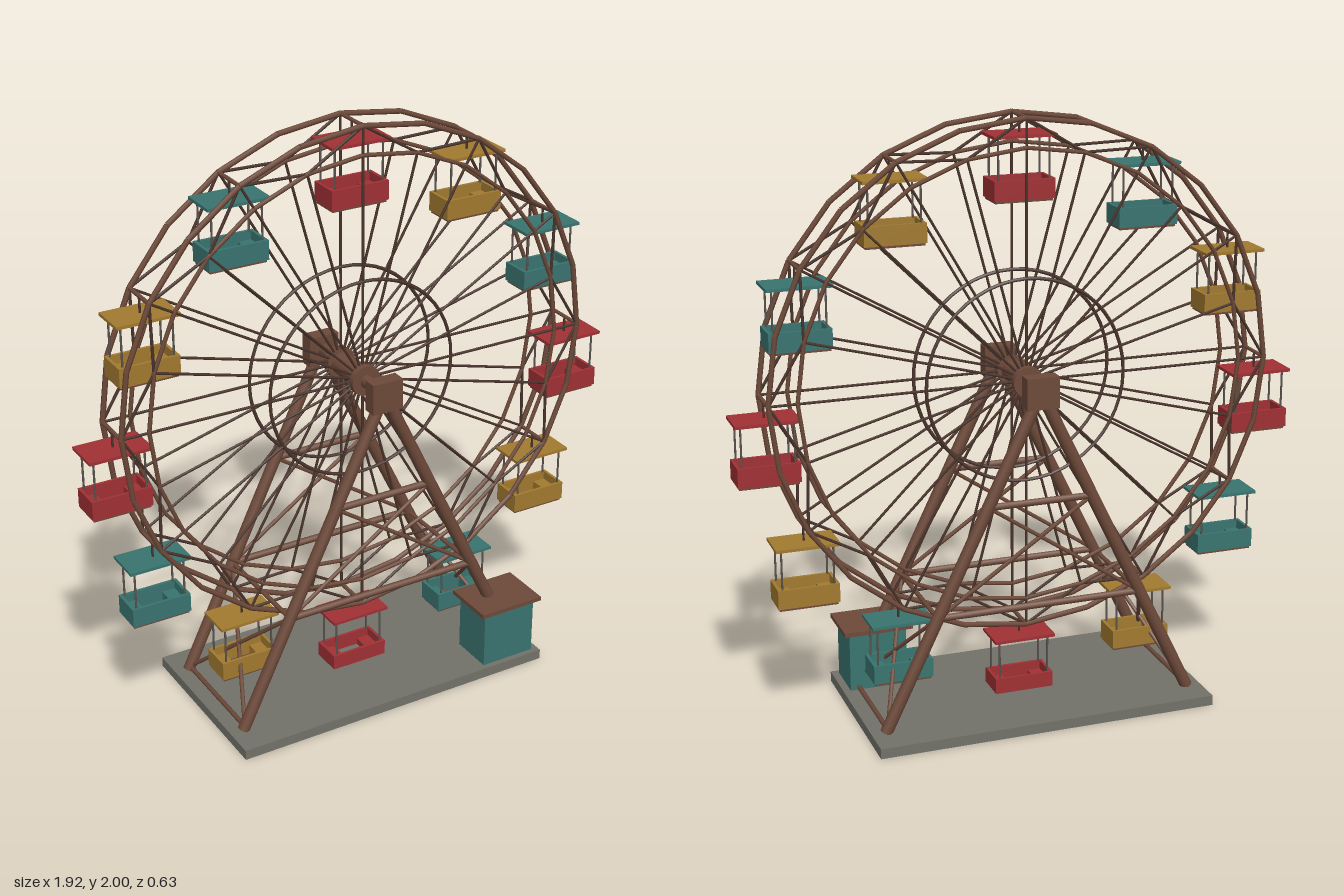
import * as THREE from 'three';

const mat = (name, color) => {
  const m = new THREE.MeshStandardMaterial({ color });
  m.name = name;
  return m;
};

export function createModel() {
  const brown = mat('brown steel', 0x6e4a3a);
  const dark = mat('dark steel', 0x4a342c);
  const grey = mat('concrete', 0x72726a);
  const post = mat('post metal', 0x5c5550);
  const red = mat('red paint', 0xa03034);
  const yellow = mat('yellow paint', 0xa27a30);
  const teal = mat('teal paint', 0x397470);
  const model = new THREE.Group();
  model.name = 'ferrisWheel';

  const group = (name, parent = model) => {
    const g = new THREE.Group();
    g.name = name;
    parent.add(g);
    return g;
  };
  const add = (parent, name, geo, m, x = 0, y = 0, z = 0) => {
    const mesh = new THREE.Mesh(geo, m);
    mesh.name = name;
    mesh.position.set(x, y, z);
    parent.add(mesh);
    return mesh;
  };
  const box = (parent, name, m, w, h, d, x, y, z) =>
    add(parent, name, new THREE.BoxGeometry(w, h, d), m, x, y, z);
  // Round bar between two points
  const rod = (parent, name, m, a, b, r, sides = 6) => {
    const p = new THREE.Vector3(...a), q = new THREE.Vector3(...b);
    const dir = q.clone().sub(p);
    const mesh = add(parent, name, new THREE.CylinderGeometry(r, r, dir.length(), sides), m);
    mesh.position.copy(p).add(q).multiplyScalar(0.5);
    mesh.quaternion.setFromUnitVectors(new THREE.Vector3(0, 1, 0), dir.normalize());
    return mesh;
  };

  const HUB = 1.14, OUTER = 0.854, INNER = 0.76, RIM_Z = 0.07, LEG_Z = 0.205;

  // Base slab
  box(model, 'base', grey, 1.17, 0.035, 0.63, 0, 0.0175, 0);

  // A-frame supports
  const frame = group('supportFrame');
  const legX = (y) => 0.535 * (HUB - y) / (HUB - 0.035);
  for (const z of [LEG_Z, -LEG_Z]) {
    for (const s of [-1, 1]) {
      rod(frame, 'leg', brown, [s * 0.535, 0.035, z], [0, HUB, z], 0.021, 10);
      rod(frame, 'diagonalBrace', brown, [s * legX(0.41), 0.41, z], [-s * legX(0.77), 0.77, z], 0.007);
    }
    for (const y of [0.41, 0.77])
      rod(frame, 'crossBeam', brown, [-legX(y), y, z], [legX(y), y, z], 0.012, 8);
    box(frame, 'bearingBlock', brown, 0.11, 0.105, 0.05, 0, HUB, z);
  }
  // Bracing between the front and back legs
  for (const s of [-1, 1]) {
    const lo = s * legX(0.045), hi = s * legX(0.41);
    rod(frame, 'sideBeam', brown, [hi, 0.41, -LEG_Z], [hi, 0.41, LEG_Z], 0.008);
    rod(frame, 'sideBeam', brown, [lo, 0.045, -LEG_Z], [lo, 0.045, LEG_Z], 0.008);
    for (const t of [-1, 1])
      rod(frame, 'sideBrace', brown, [lo, 0.045, t * LEG_Z], [hi, 0.41, -t * LEG_Z], 0.007);
  }

  // Axle and hub
  rod(model, 'axle', brown, [0, HUB, -0.21], [0, HUB, 0.21], 0.022, 16);
  rod(model, 'hub', brown, [0, HUB, -0.07], [0, HUB, 0.07], 0.038, 16);
  for (const s of [-1, 1])
    rod(model, 'hubFlange', brown, [0, HUB, s * 0.065], [0, HUB, s * 0.095], 0.052, 16);

  // Wheel
  const wheel = group('wheel');
  const at = (i, r, z) => {
    const a = i * Math.PI / 12;
    return [r * Math.sin(a), HUB + r * Math.cos(a), z];
  };
  for (const z of [RIM_Z, -RIM_Z]) {
    for (let i = 0; i < 24; i++) {
      rod(wheel, 'outerRim', brown, at(i, OUTER, z), at(i + 1, OUTER, z), 0.009);
      rod(wheel, 'innerRim', brown, at(i, INNER, z), at(i + 1, INNER, z), 0.007);
      rod(wheel, 'spoke', dark, at(i, 0.03, z), at(i, i % 2 ? INNER : OUTER, z), 0.0045);
      // Lattice between the rims
      const odd = i % 2;
      rod(wheel, 'lattice', dark, at(i, odd ? INNER : OUTER, z), at(i + 1, odd ? OUTER : INNER, z), 0.005);
    }
    add(wheel, 'hubRing', new THREE.TorusGeometry(0.34, 0.006, 6, 48), dark, 0, HUB, z);
  }
  for (let i = 0; i < 24; i += 2)
    rod(wheel, 'gondolaAxle', brown, at(i, OUTER, -RIM_Z), at(i, OUTER, RIM_Z), 0.007);

  // Gondolas, hanging level below the rim
  const cabin = (color, x, y) => {
    const g = group('gondola');
    g.position.set(x, y, 0);
    rod(g, 'hanger', dark, [0, 0, 0], [0, -0.06, 0], 0.004);
    box(g, 'canopy', color, 0.214, 0.01, 0.13, 0, -0.06, 0);
    for (const s of [-1, 1]) {
      for (const t of [-1, 1])
        rod(g, 'post', post, [s * 0.086, -0.06, t * 0.045], [s * 0.086, -0.2, t * 0.045], 0.0035);
      box(g, 'sideWall', color, 0.205, 0.065, 0.01, 0, -0.2305, s * 0.05);
      box(g, 'endWall', color, 0.01, 0.065, 0.09, s * 0.0975, -0.2305, 0);
      box(g, 'bench', color, 0.045, 0.03, 0.09, s * 0.07, -0.243, 0);
    }
    box(g, 'floor', brown, 0.195, 0.01, 0.1, 0, -0.266, 0);
  };
  const paints = [red, yellow, teal];
  for (let i = 0; i < 12; i++) {
    const [x, y] = at(i * 2, OUTER, 0);
    cabin(paints[i % 3], x, y);
  }

  // Ticket booth
  const booth = group('ticketBooth');
  box(booth, 'boothWalls', teal, 0.2, 0.205, 0.155, 0.46, 0.1375, 0.2175);
  box(booth, 'boothRoof', brown, 0.24, 0.015, 0.19, 0.46, 0.2475, 0.2175);

  return model;
}
